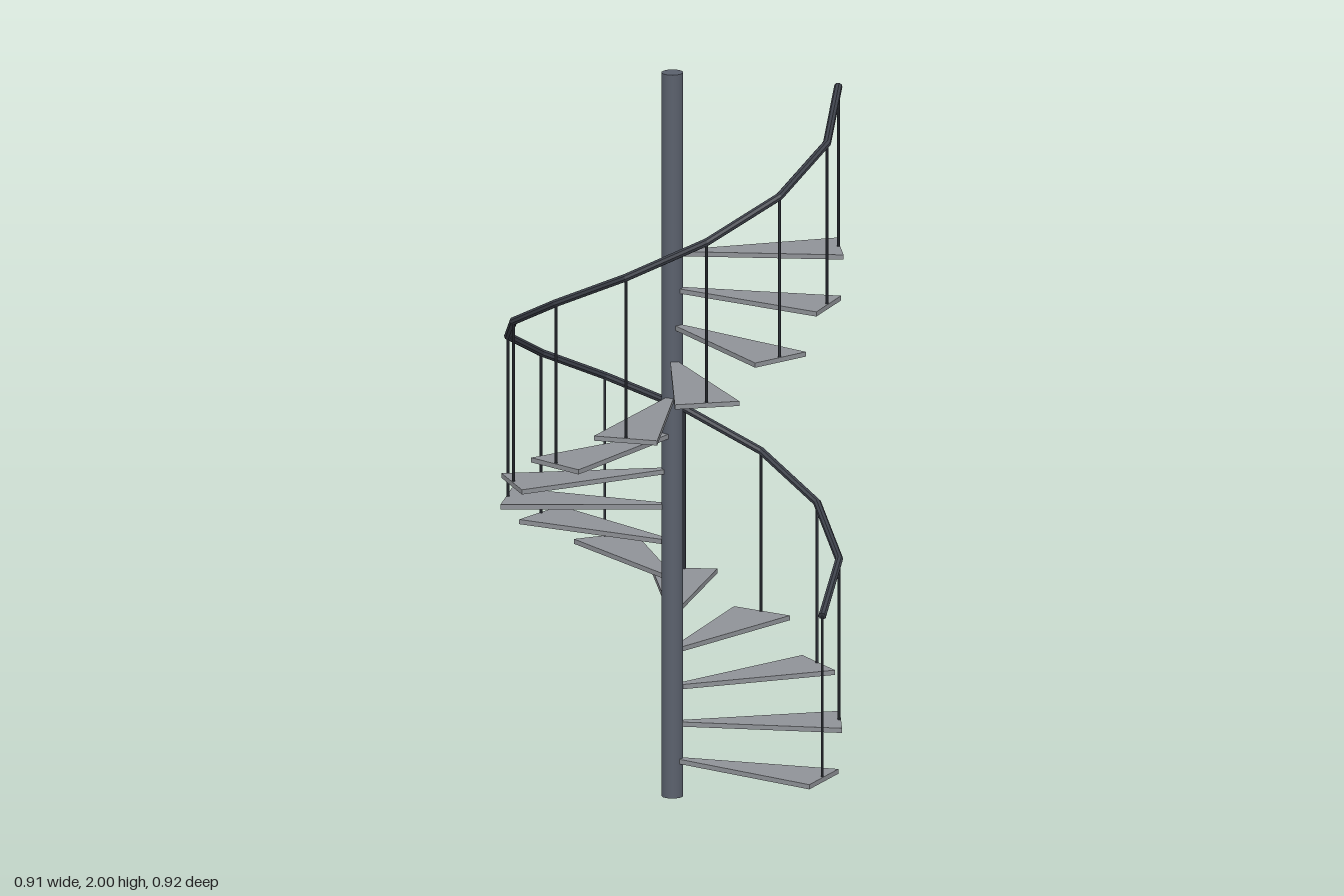
import * as THREE from 'three';

const STEPS = 15, RISE = 0.1, TURN = THREE.MathUtils.degToRad(28);
const RAIL_RADIUS = 0.445, RAIL_HEIGHT = 0.45;

// Straight-segmented helix; tangents are averaged at the bends so the joints are mitred
class RailPath extends THREE.Curve {
  corner(i) {
    const a = i * TURN;
    return new THREE.Vector3(
      Math.cos(a) * RAIL_RADIUS,
      RISE * (i + 1) + RAIL_HEIGHT,
      -Math.sin(a) * RAIL_RADIUS
    );
  }
  getPoint(t, target = new THREE.Vector3()) {
    const s = t * (STEPS - 1);
    const i = Math.min(Math.floor(s), STEPS - 2);
    return target.copy(this.corner(i)).lerp(this.corner(i + 1), s - i);
  }
  getPointAt(u, target) { return this.getPoint(u, target); }
  getTangentAt(u, target) { return this.getTangent(u, target); }
}

export function createModel() {
  const model = new THREE.Group();
  model.name = 'spiralStaircase';

  const material = (name, color, flatShading = false) => {
    const m = new THREE.MeshStandardMaterial({ color, flatShading });
    m.name = name;
    return m;
  };
  const poleMaterial = material('slate steel', 0x5a606c);
  const treadMaterial = material('grey tread', 0x8f9297);
  const railMaterial = material('dark rail', 0x3c4049, true);

  const add = (parent, name, geometry, mat) => {
    const mesh = new THREE.Mesh(geometry, mat);
    mesh.name = name;
    parent.add(mesh);
    return mesh;
  };

  // Central pole
  add(model, 'centralPole', new THREE.CylinderGeometry(0.029, 0.029, 2, 24), poleMaterial).position.y = 1;

  // Wedge tread, narrow at the pole and straight at the outer edge
  const wedge = new THREE.Shape([
    new THREE.Vector2(0.01, -0.008),
    new THREE.Vector2(0.45, -0.088),
    new THREE.Vector2(0.45, 0.088),
    new THREE.Vector2(0.01, 0.008),
  ]);
  const thickness = 0.013;
  const treadGeometry = new THREE.ExtrudeGeometry(wedge, { depth: thickness, bevelEnabled: false });
  treadGeometry.rotateX(-Math.PI / 2).translate(0, -thickness / 2, 0);

  // Baluster standing at the outer edge of each tread
  const balusterGeometry = new THREE.CylinderGeometry(0.004, 0.004, RAIL_HEIGHT, 8);
  balusterGeometry.translate(RAIL_RADIUS, RAIL_HEIGHT / 2, 0);

  for (let i = 0; i < STEPS; i++) {
    const step = new THREE.Group();
    step.name = `step${i + 1}`;
    step.position.y = RISE * (i + 1);
    step.rotation.y = i * TURN;
    add(step, 'tread', treadGeometry, treadMaterial);
    add(step, 'baluster', balusterGeometry, railMaterial);
    model.add(step);
  }

  // Handrail with closed ends
  const path = new RailPath();
  add(model, 'handrail', new THREE.TubeGeometry(path, STEPS - 1, 0.011, 8), railMaterial);
  for (const [u, sign] of [[0, -1], [1, 1]]) {
    const cap = add(model, 'handrailEnd', new THREE.CircleGeometry(0.011, 8), railMaterial);
    cap.position.copy(path.getPointAt(u));
    cap.quaternion.setFromUnitVectors(
      new THREE.Vector3(0, 0, 1),
      path.getTangentAt(u).multiplyScalar(sign)
    );
  }

  return model;
}
